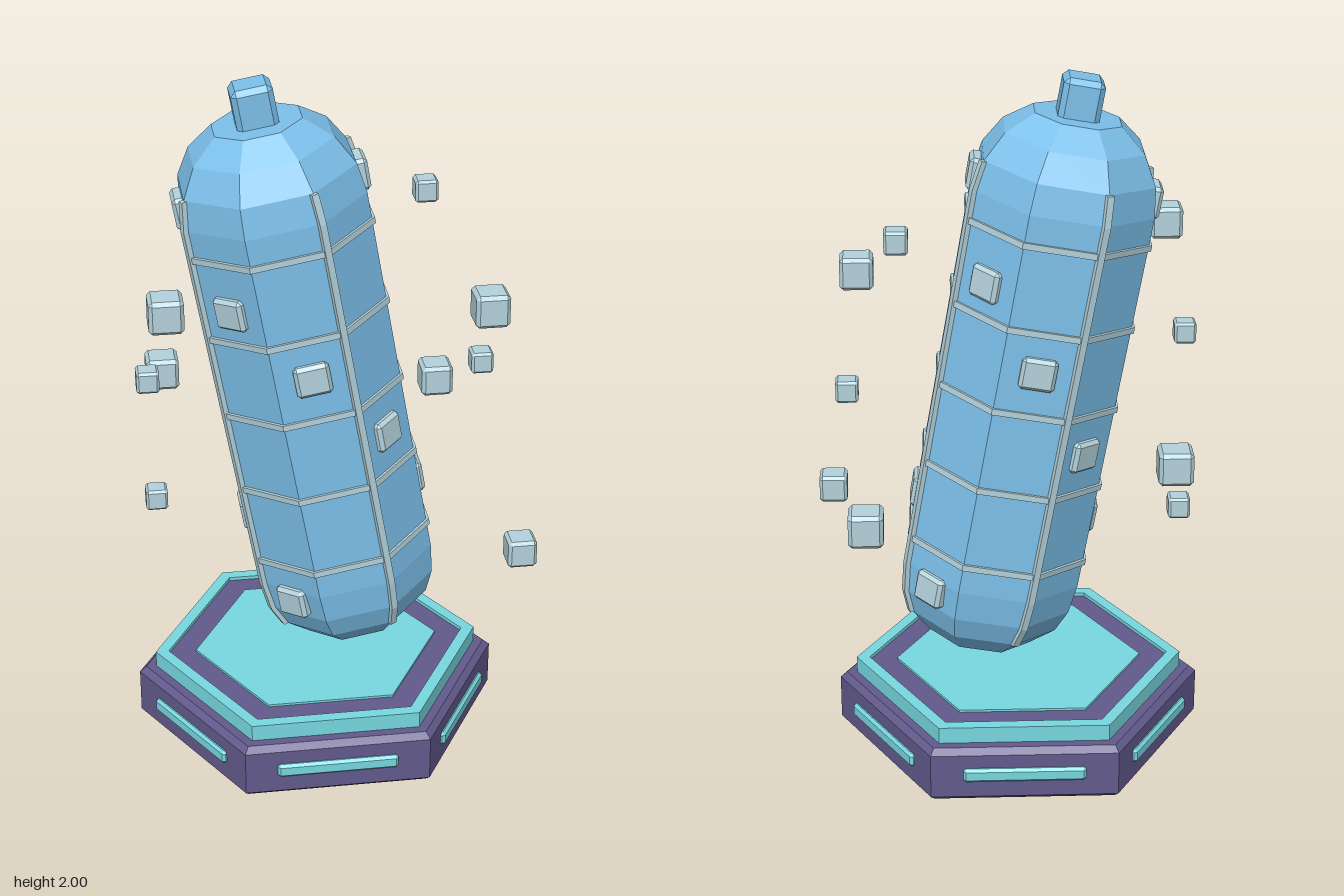
import * as THREE from 'three';
import { ConvexGeometry } from 'three/addons/geometries/ConvexGeometry.js';

const material = (color) => new THREE.MeshStandardMaterial({ color, flatShading: true });
const blue = material(0x7cc0ea);
const pale = material(0xb4d2dc);
const purple = material(0x625a8c);
const cyan = material(0x78d8e0);
const OCT = Math.cos(Math.PI / 8); // flat radius / corner radius of an octagon

function add(parent, name, geometry, mat, x = 0, y = 0, z = 0) {
  const mesh = new THREE.Mesh(geometry, mat);
  mesh.name = name;
  mesh.position.set(x, y, z);
  parent.add(mesh);
  return mesh;
}

// Box with all edges and corners cut by c
function chamferBox(w, h, d, c) {
  const points = [];
  for (const sx of [-1, 1]) for (const sy of [-1, 1]) for (const sz of [-1, 1]) {
    const [x, y, z] = [w / 2, h / 2, d / 2];
    points.push(
      new THREE.Vector3(sx * x, sy * (y - c), sz * (z - c)),
      new THREE.Vector3(sx * (x - c), sy * y, sz * (z - c)),
      new THREE.Vector3(sx * (x - c), sy * (y - c), sz * z));
  }
  return new ConvexGeometry(points);
}

// Faceted solid of revolution with a flat side facing the front
function prism(profile, sides) {
  const points = profile.map(([r, y]) => new THREE.Vector2(r, y));
  return new THREE.LatheGeometry(points, sides).rotateY(Math.PI / sides);
}

function band(inner, outer, low, high, sides) {
  return prism([[inner, low], [outer, low], [outer, high], [inner, high], [inner, low]], sides);
}

function createBase() {
  const base = new THREE.Group();
  base.name = 'base';
  base.position.x = -0.03;
  add(base, 'plinth', prism([[0, 0], [0.515, 0], [0.535, 0.016], [0.535, 0.15], [0.515, 0.167], [0, 0.167]], 6), purple);
  add(base, 'rimBand', band(0.446, 0.485, 0.16, 0.216, 6), cyan);
  add(base, 'innerStep', prism([[0, 0.16], [0.447, 0.16], [0.447, 0.205], [0, 0.205]], 6), purple);
  add(base, 'topPlate', prism([[0, 0.19], [0.364, 0.19], [0.364, 0.212], [0, 0.212]], 6), cyan);
  // One light bar on each side
  const bar = chamferBox(0.35, 0.042, 0.04, 0.008);
  for (let i = 0; i < 6; i++) {
    const a = i * Math.PI / 3;
    add(base, 'lightBar', bar, cyan, Math.sin(a) * 0.455, 0.088, Math.cos(a) * 0.455).rotation.y = a;
  }
  return base;
}

function createCapsule() {
  const capsule = new THREE.Group();
  capsule.name = 'capsule';
  capsule.position.set(-0.05, 1.1, 0);
  capsule.rotation.z = THREE.MathUtils.degToRad(10);

  // Eight-sided body, radii measured to the flats
  const profile = [[0.15, -0.795], [0.213, -0.73], [0.24, -0.66], [0.25, -0.57],
    [0.25, 0.57], [0.237, 0.655], [0.193, 0.735], [0.12, 0.795]]
    .map(([r, y]) => [r / OCT, y]);
  add(capsule, 'body', prism([[0, -0.795], ...profile, [0, 0.795]], 8), blue);
  add(capsule, 'topKnob', chamferBox(0.115, 0.125, 0.115, 0.015), blue, 0, 0.842, 0);

  // Hoops
  const hoop = band(0.24 / OCT, 0.258 / OCT, -0.009, 0.009, 8);
  for (let i = -2; i <= 2; i++) add(capsule, 'hoop', hoop, pale, 0, i * 0.243, 0);

  // Ribs along every other corner, following the body
  const spine = profile.slice(1, 6);
  const outline = [...spine.map(([r, y]) => new THREE.Vector2(r + 0.01, y)),
    ...spine.map(([r, y]) => new THREE.Vector2(r - 0.012, y)).reverse()];
  const rib = new THREE.ExtrudeGeometry(new THREE.Shape(outline), { depth: 0.02, bevelEnabled: false });
  rib.translate(0, 0, -0.01);
  for (let i = 0; i < 4; i++) {
    add(capsule, 'rib', rib, pale).rotation.y = Math.PI / 8 + i * Math.PI / 2;
  }

  // Studs in two opposite spirals: [height, face angle from +x toward +z]
  const stud = chamferBox(0.1, 0.092, 0.04, 0.01);
  const spiral = [[0.595, 0], [0.338, 135], [0.128, 90], [-0.122, 45], [-0.372, 0], [-0.605, 135]];
  for (const [y, angle] of spiral) for (const half of [0, 180]) {
    const a = THREE.MathUtils.degToRad(angle + half);
    add(capsule, 'stud', stud, pale, Math.cos(a) * 0.25, y, Math.sin(a) * 0.25).rotation.y = Math.PI / 2 - a;
  }
  return capsule;
}

function createFloatingCubes() {
  const cubes = new THREE.Group();
  cubes.name = 'floatingCubes';
  // x, y, z, size
  const layout = [
    [-0.47, 1.48, 0.31, 0.094], [-0.515, 1.2, 0.135, 0.063],
    [-0.445, 0.99, -0.34, 0.096], [-0.492, 0.727, -0.045, 0.063],
    [0.31, 1.59, -0.18, 0.066], [0.43, 1.38, 0.182, 0.096],
    [0.458, 1.105, -0.045, 0.064], [0.402, 0.862, -0.434, 0.096],
    [0.52, 0.657, 0.28, 0.083]];
  for (const [x, y, z, s] of layout) {
    add(cubes, 'floatingCube', chamferBox(s, s, s, s * 0.11), pale, x, y, z);
  }
  return cubes;
}

export function createModel() {
  const model = new THREE.Group();
  model.name = 'capsuleMonument';
  model.add(createBase(), createCapsule(), createFloatingCubes());
  return model;
}
